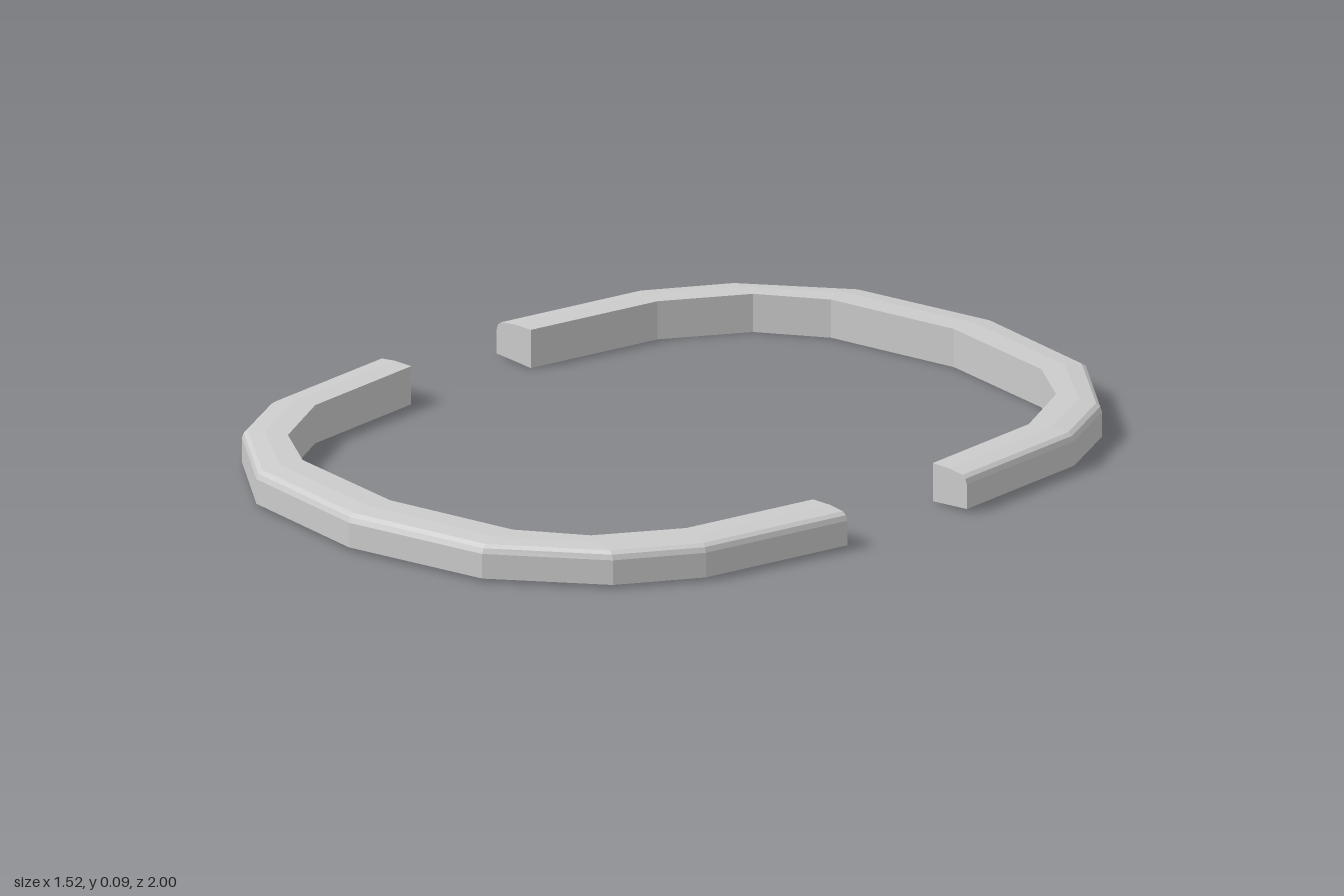
import * as THREE from 'three';

// Plan of one quarter: [inner x, inner z, outer x, outer z], from the open end to the middle
const quarter = [
  [0.65, 0.185, 0.76, 0.185],
  [0.6, 0.53, 0.705, 0.57],
  [0.49, 0.72, 0.6, 0.757],
  [0.34, 0.818, 0.365, 0.937],
  [0, 0.873, 0, 1],
];

// Cross-section: [share of the way from inner to outer edge, height]
const section = [
  [0, 0], [1, 0.008], [1, 0.066], [0.96, 0.078], [0.87, 0.085], [0.5, 0.09], [0, 0.09],
];

function archGeometry() {
  // Mirror the quarter to get all stations of the half ring
  const mirrored = quarter.slice(0, -1).reverse().map(([a, b, c, d]) => [-a, b, -c, d]);
  const stations = [...quarter, ...mirrored];
  const n = section.length;
  const positions = [];
  const indices = [];
  for (const [ix, iz, ox, oz] of stations) {
    for (const [t, y] of section) {
      positions.push(THREE.MathUtils.lerp(ix, ox, t), y, THREE.MathUtils.lerp(iz, oz, t));
    }
  }
  // Walls between neighbouring stations
  for (let i = 0; i < stations.length - 1; i++) {
    for (let j = 0; j < n; j++) {
      const k = (j + 1) % n;
      const a = i * n + j, a2 = i * n + k;
      const b = a + n, b2 = a2 + n;
      indices.push(a, a2, b2, a, b2, b);
    }
  }
  // Flat end caps
  const last = (stations.length - 1) * n;
  for (let k = 1; k < n - 1; k++) {
    indices.push(0, k + 1, k, last, last + k, last + k + 1);
  }
  const indexed = new THREE.BufferGeometry();
  indexed.setAttribute('position', new THREE.Float32BufferAttribute(positions, 3));
  indexed.setIndex(indices);
  const geometry = indexed.toNonIndexed();
  geometry.computeVertexNormals();
  return geometry;
}

export function createModel() {
  const group = new THREE.Group();
  group.name = 'splitRing';
  const material = new THREE.MeshStandardMaterial({ color: 0xcccccc, flatShading: true });
  const geometry = archGeometry();

  // Two equal arches facing each other across the side gaps
  ['frontArch', 'backArch'].forEach((name, i) => {
    const arch = new THREE.Mesh(geometry, material);
    arch.name = name;
    arch.rotation.y = i * Math.PI;
    group.add(arch);
  });
  return group;
}
